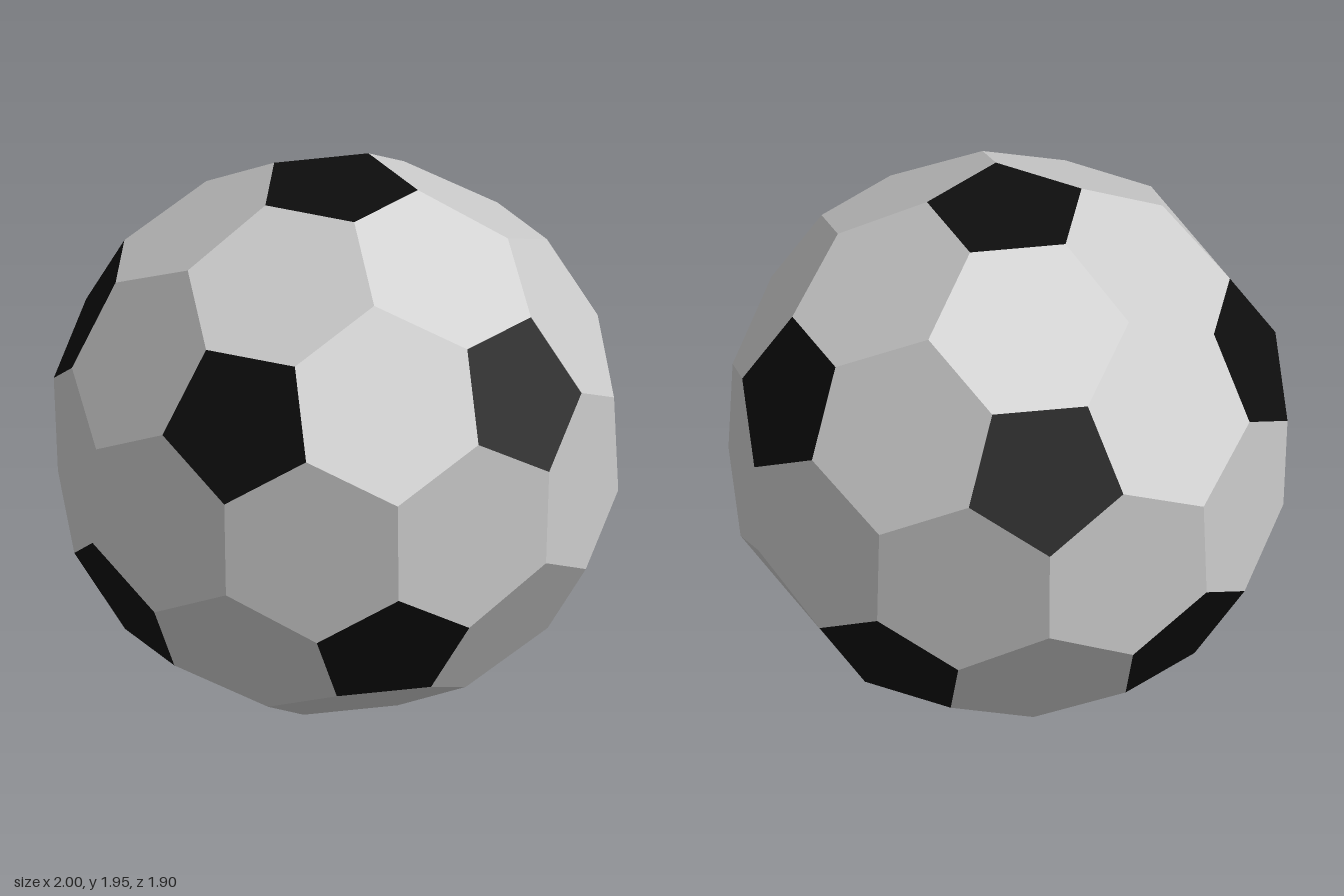
import * as THREE from 'three';

const FACE_DIST = 0.973;   // centre to pentagon
const PENT_RADIUS = 0.29;  // pentagon circumradius
const CORNER_DIST = 1.003; // centre to a corner shared by three hexagons

// Polygon mesh from corners and triangles, with one normal for the whole panel
function panel(name, corners, triangles, normal, material) {
  const geometry = new THREE.BufferGeometry().setFromPoints(corners);
  geometry.setIndex(triangles);
  geometry.setAttribute('normal', new THREE.Float32BufferAttribute(corners.flatMap(() => normal.toArray()), 3));
  const mesh = new THREE.Mesh(geometry, material);
  mesh.name = name;
  return mesh;
}

export function createModel() {
  const ball = new THREE.Group();
  ball.name = 'ball';
  const black = new THREE.MeshStandardMaterial({ color: 0x0d0d0d });
  const grey = new THREE.MeshStandardMaterial({ color: 0xcccccc });

  // Twelve pentagon directions: the poles and two rings of five
  const axes = [new THREE.Vector3(0, 1, 0)];
  for (let i = 0; i < 5; i++) {
    const a = (i * 2 * Math.PI) / 5;
    axes.push(new THREE.Vector3(2 * Math.cos(a), 1, 2 * Math.sin(a)).normalize());
  }
  axes.push(...axes.map((v) => v.clone().negate()));
  const near = (a, b) => a !== b && a.dot(b) > 0.4;

  // Direction where the hexagons around three neighbouring pentagons meet
  const cornerDir = (a, b, c) => a.clone().add(b).add(c).normalize();
  // Pentagon corner that points towards such a direction
  const pentCorner = (axis, dir) => dir.clone().projectOnPlane(axis).setLength(PENT_RADIUS).addScaledVector(axis, FACE_DIST);

  const pentagons = new THREE.Group();
  pentagons.name = 'pentagonPanels';
  const hexagons = new THREE.Group();
  hexagons.name = 'hexagonPanels';
  ball.add(pentagons, hexagons);

  // Black pentagons, corners in counter-clockwise order seen from outside
  for (const axis of axes) {
    const first = axes.find((b) => near(axis, b));
    const u = first.clone().projectOnPlane(axis).normalize();
    const corners = [];
    for (let i = 0; i < 5; i++) {
      const dir = u.clone().applyAxisAngle(axis, ((i + 0.5) * 2 * Math.PI) / 5);
      corners.push(pentCorner(axis, dir));
    }
    pentagons.add(panel('pentagonPanel', corners, [0, 1, 2, 0, 2, 3, 0, 3, 4], axis, black));
  }

  // Grey hexagons, one between each pair of neighbouring pentagons
  axes.forEach((a, i) => axes.slice(i + 1).filter((b) => near(a, b)).forEach((b) => {
    const normal = a.clone().add(b).normalize();
    let [v, w] = axes.filter((c) => near(a, c) && near(b, c)).map((c) => cornerDir(a, b, c));
    if (w.clone().sub(v).cross(b.clone().sub(a)).dot(normal) < 0) [v, w] = [w, v];
    const corners = [
      pentCorner(a, v), pentCorner(a, w), w.clone().multiplyScalar(CORNER_DIST),
      pentCorner(b, w), pentCorner(b, v), v.clone().multiplyScalar(CORNER_DIST),
    ];
    hexagons.add(panel('hexagonPanel', corners, [0, 1, 3, 0, 3, 4, 1, 2, 3, 4, 5, 0], normal, grey));
  }));

  ball.position.y = FACE_DIST;
  const model = new THREE.Group();
  model.name = 'model';
  model.add(ball);
  return model;
}
